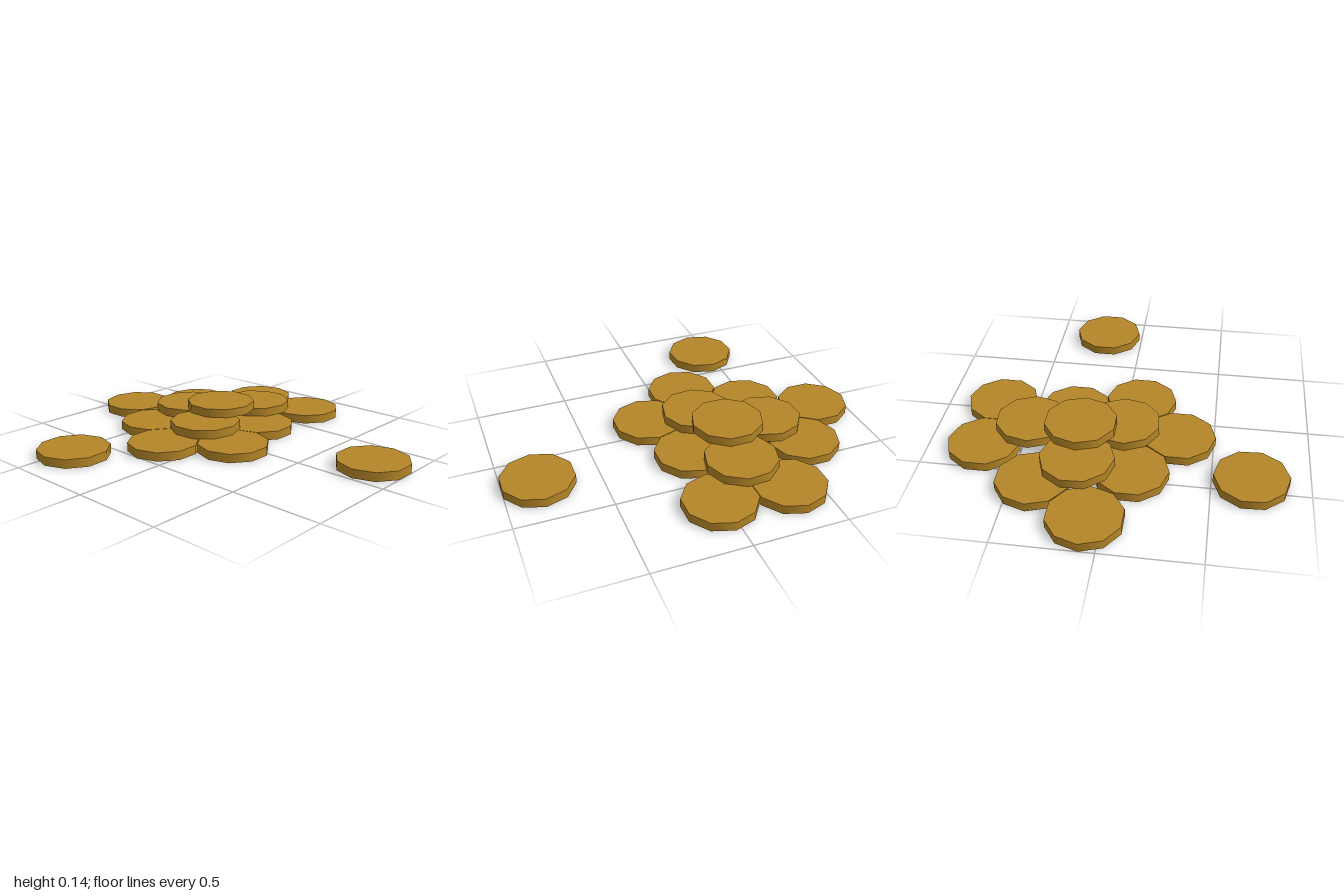
import * as THREE from 'three';
import { mergeGeometries } from 'three/addons/utils/BufferGeometryUtils.js';

const RADIUS = 0.193, HEIGHT = 0.048, SIDES = 10;

// Each coin: x, z, layer, turn in degrees
const COINS = [
  // stray coins
  [0.207, 0.815, 0, 18], [-0.7, -0.435, 0, 21],
  // bottom layer of the pile
  [0.08, -0.807, 0, 0], [0.38, -0.587, 0, 0], [0.697, -0.34, 0, 18], [0.687, 0.03, 0, 18],
  [0.27, 0.015, 0, 18], [-0.083, 0.13, 0, 18], [-0.317, -0.16, 0, 18], [-0.097, -0.46, 0, 18],
  // second layer
  [-0.02, -0.135, 1, 6], [0.18, -0.457, 1, 20], [0.473, -0.18, 1, 4],
  // top coin
  [0.2, -0.22, 2, 0],
];

// Ten-sided coin: smooth rim and flat face, open underneath
function coinGeometry() {
  const rim = new THREE.CylinderGeometry(RADIUS, RADIUS, HEIGHT, SIDES, 1, true);
  rim.translate(0, HEIGHT / 2, 0);
  const face = new THREE.CircleGeometry(RADIUS, SIDES, Math.PI / 2);
  face.rotateX(-Math.PI / 2).translate(0, HEIGHT, 0);
  return mergeGeometries([rim, face]);
}

export function createModel() {
  const model = new THREE.Group();
  model.name = 'coinPile';
  const gold = new THREE.MeshStandardMaterial({ color: 0xb58627, side: THREE.DoubleSide });
  gold.name = 'gold';
  const geometry = coinGeometry();
  COINS.forEach(([x, z, layer, turn], i) => {
    const coin = new THREE.Mesh(geometry, gold);
    coin.name = `coin${i + 1}`;
    coin.position.set(x, layer * 0.0485, z);
    coin.rotation.y = THREE.MathUtils.degToRad(turn);
    model.add(coin);
  });
  return model;
}
